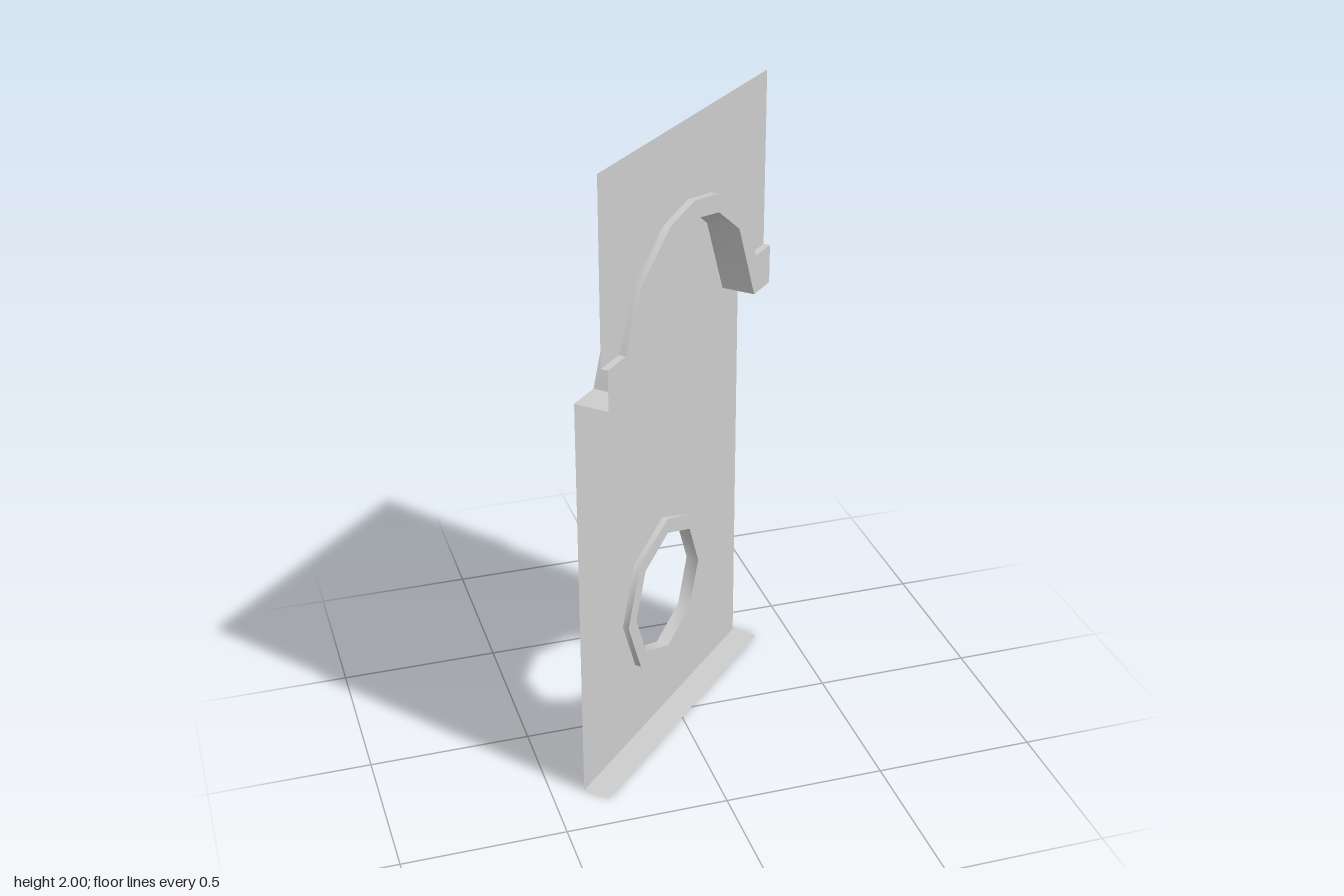
import * as THREE from 'three';
import { toCreasedNormals } from 'three/addons/utils/BufferGeometryUtils.js';

const material = new THREE.MeshStandardMaterial({ color: 0xcccccc, side: THREE.DoubleSide });

// Depths of the folded sheet, measured along the wall's normal
const LOWER = -0.055, UPPER = 0.032, TRIM = 0.054, RING = -0.035, HOLE_BACK = -0.077;
const W = 0.511; // half width of the wall

const toVec = ([x, y]) => new THREE.Vector2(x, y);

// Mirrors the right half of an arch (foot to just before the crown) into a left-to-right path
const arch = (half, crown) => [
  ...half.map(([x, y]) => [-x, y]), [0, crown], ...half.slice().reverse(),
];

const circle = (r, cy) => Array.from({ length: 8 }, (_, i) => {
  const a = (i * Math.PI) / 4;
  return [r * Math.cos(a), cy + r * Math.sin(a)];
});

function add(group, name, geometry) {
  const mesh = new THREE.Mesh(geometry, material);
  mesh.name = name;
  group.add(mesh);
}

// Flat sheet at one depth, with optional hole
function sheet(group, name, outline, z, hole) {
  const shape = new THREE.Shape(outline.map(toVec));
  if (hole) shape.holes.push(new THREE.Path(hole.map(toVec)));
  add(group, name, new THREE.ShapeGeometry(shape).translate(0, 0, z));
}

// Wall that sweeps a path from one depth to another
function strip(group, name, path, z0, z1, closed = false) {
  const pts = closed ? [...path, path[0]] : path;
  const position = [], index = [];
  pts.forEach(([x, y], i) => {
    position.push(x, y, z0, x, y, z1);
    if (i) {
      const a = 2 * i - 2;
      index.push(a, a + 1, a + 2, a + 1, a + 3, a + 2);
    }
  });
  const g = new THREE.BufferGeometry();
  g.setAttribute('position', new THREE.Float32BufferAttribute(position, 3));
  g.setIndex(index);
  add(group, name, toCreasedNormals(g, 0.87));
}

export function createModel() {
  const model = new THREE.Group();
  model.name = 'archedWall';
  const wall = new THREE.Group();
  wall.name = 'wallSection';
  wall.rotation.y = Math.PI / 4;
  model.add(wall);

  // Profiles of the arch trim
  const outer = arch([[W, 1.443], [0.41, 1.443], [0.32, 1.615], [0.147, 1.733]], 1.76);
  const inner = arch([[W, 1.318], [0.403, 1.318], [0.293, 1.572], [0.155, 1.672]], 1.705);

  // Round opening profiles
  const ringOuter = circle(0.257, 0.444);
  const ringInner = circle(0.207, 0.444);

  // Panels
  sheet(wall, 'upperPanel', [...outer, [W, 2], [-W, 2]], UPPER);
  sheet(wall, 'lowerPanel', [[-W, 0], [W, 0], ...inner.slice().reverse()], LOWER, ringOuter);
  strip(wall, 'baseLedge', [[-W, 0], [W, 0]], LOWER, UPPER);

  // Arch trim: front band, its raised lip and the deep underside
  sheet(wall, 'archTrim', [...inner, ...outer.slice().reverse()], TRIM);
  strip(wall, 'archTrimLip', outer, UPPER, TRIM);
  strip(wall, 'archUnderside', inner, LOWER, TRIM);

  // Round opening: raised ring and the sleeve through the wall
  sheet(wall, 'openingRing', ringOuter, RING, ringInner);
  strip(wall, 'openingRingEdge', ringOuter, LOWER, RING, true);
  strip(wall, 'openingSleeve', ringInner, HOLE_BACK, RING, true);

  return model;
}
